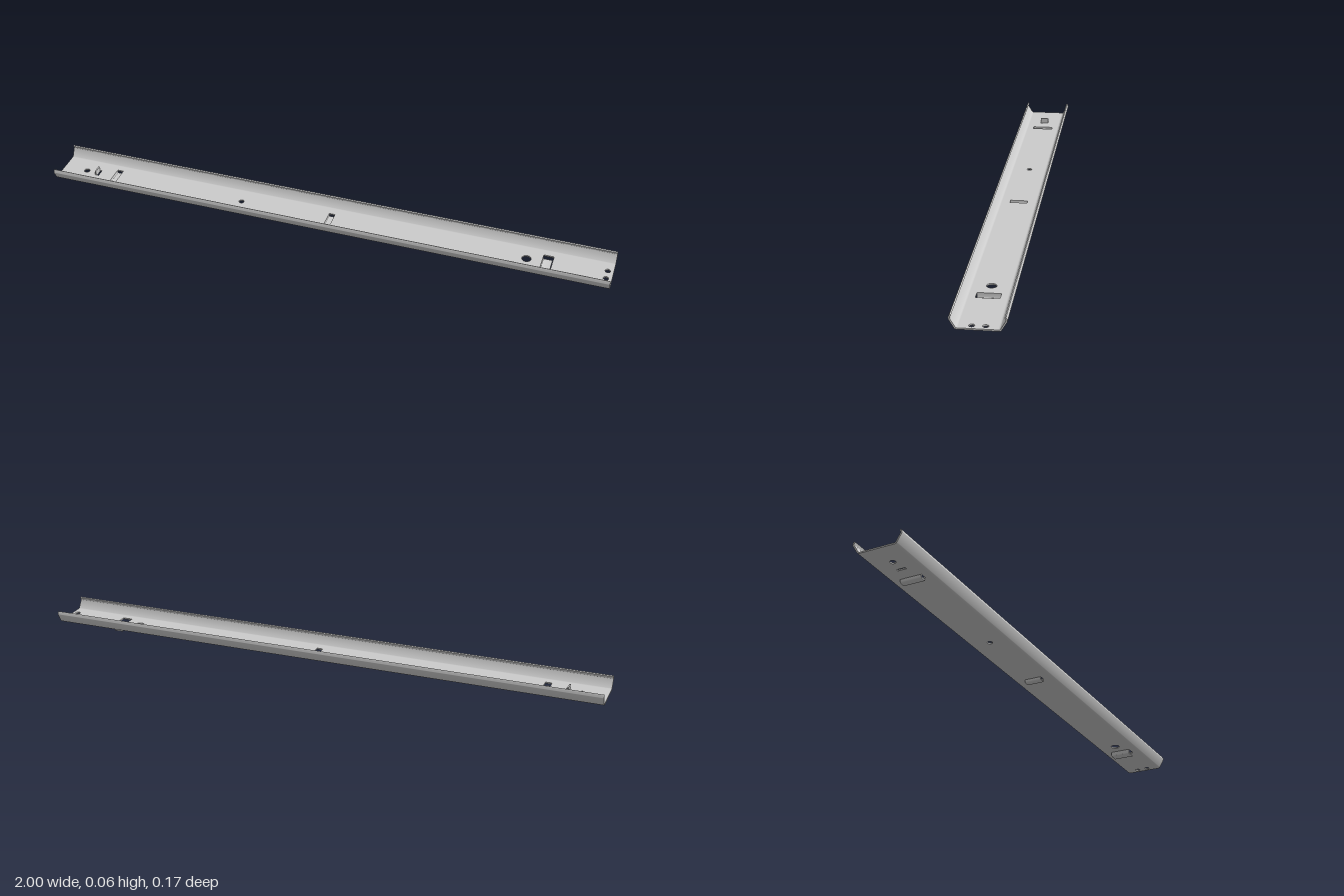
import * as THREE from 'three';
import { toCreasedNormals } from 'three/addons/utils/BufferGeometryUtils.js';

const T = 0.005;        // sheet thickness
const FLOOR = 0.0165;   // underside of the channel floor

// Polyline with its inner corners rounded
function rounded(points, radius) {
  const p = points.map(([x, y]) => new THREE.Vector2(x, y));
  const out = [p[0]];
  for (let i = 1; i < p.length - 1; i++) {
    const toward = q => p[i].clone().add(q.clone().sub(p[i]).setLength(radius));
    out.push(...new THREE.QuadraticBezierCurve(toward(p[i - 1]), p[i], toward(p[i + 1])).getPoints(5));
  }
  return [...out, p[p.length - 1]];
}

// Bent sheet: thickens a centre line and extrudes it
function bentSheet(points, radius, depth) {
  const line = rounded(points, radius);
  const sides = [[], []];
  line.forEach((p, i) => {
    const d = line[Math.min(i + 1, line.length - 1)].clone().sub(line[Math.max(i - 1, 0)]).normalize();
    const n = new THREE.Vector2(-d.y, d.x).multiplyScalar(T / 2);
    sides[0].push(p.clone().add(n));
    sides[1].unshift(p.clone().sub(n));
  });
  const geo = new THREE.ExtrudeGeometry(new THREE.Shape([...sides[0], ...sides[1]]), { depth, bevelEnabled: false });
  return toCreasedNormals(geo, 0.6);
}

function roundHole(x, z, r) {
  return new THREE.Path().absarc(x, z, r, 0, Math.PI * 2, true);
}

function rectPath(PathType, x0, x1, half) {
  return new PathType([[x0, -half], [x1, -half], [x1, half], [x0, half]].map(([x, y]) => new THREE.Vector2(x, y)));
}

export function createModel() {
  const group = new THREE.Group();
  const material = new THREE.MeshStandardMaterial({ color: 0xcccccc, side: THREE.DoubleSide });
  const add = (name, geo) => {
    const mesh = new THREE.Mesh(geo, material);
    mesh.name = name;
    group.add(mesh);
    return mesh;
  };

  // Hooks: slot start, slot end, half width, lowest height
  const hooks = [
    [-0.812, -0.785, 0.037, 0.005],
    [0.0, 0.026, 0.03, 0.005],
    [0.757, 0.797, 0.037, 0.0],
  ];

  // Channel floor with screw holes and slots
  const floor = rectPath(THREE.Shape, -1, 1, 0.058);
  floor.holes.push(
    roundHole(-0.912, 0, 0.01),
    roundHole(-0.312, 0, 0.009),
    roundHole(0.71, 0, 0.016),
    roundHole(0.98, 0.02, 0.009),
    roundHole(0.98, -0.02, 0.009),
    rectPath(THREE.Path, -0.868, -0.86, 0.015),
    ...hooks.map(([x0, x1, half]) => rectPath(THREE.Path, x0, x1, half)),
  );
  const floorGeo = new THREE.ExtrudeGeometry(floor, { depth: T, bevelEnabled: false, curveSegments: 24 });
  floorGeo.rotateX(-Math.PI / 2).translate(0, FLOOR, 0);
  add('channelFloor', toCreasedNormals(floorGeo, 0.6));

  // Flared side walls with lips turned inward
  for (const s of [1, -1]) {
    const y = FLOOR + T / 2;
    const wall = bentSheet([[s * 0.058, y], [s * 0.0645, y], [s * 0.0835, 0.051], [s * 0.0785, 0.0605]], 0.004, 2);
    wall.rotateY(-Math.PI / 2).translate(1, 0, 0);
    add(s > 0 ? 'frontWall' : 'backWall', wall);
  }

  // Hooks folded down from the slots
  hooks.forEach(([x0, x1, half, low], i) => {
    const y = low + T / 2;
    const hook = bentSheet([[x0 + T / 2, FLOOR + T], [x0 + T / 2, y], [x1 - 0.004, y]], 0.006, half * 2);
    add('hook' + (i + 1), hook.translate(0, 0, -half));
  });

  // Small stop tab folded up from the floor
  add('stopTab', new THREE.BoxGeometry(T, 0.02, 0.03)).position.set(-0.8705, 0.0275, 0);

  return group;
}
